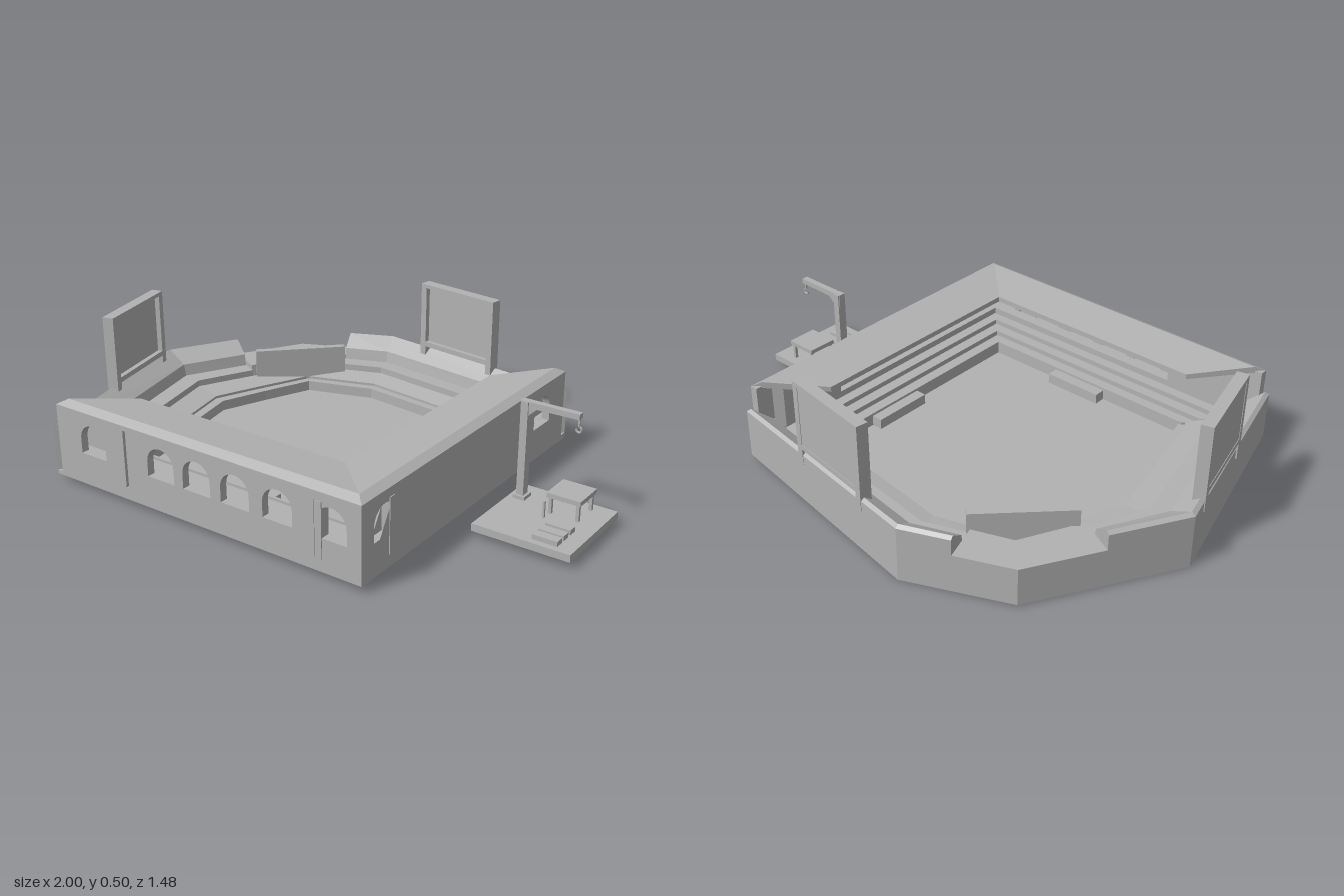
import * as THREE from 'three';

const concrete = new THREE.MeshStandardMaterial({ color: 0xb2b2b2, flatShading: true, side: THREE.DoubleSide });
concrete.name = 'concrete grey';

function part(parent, name, geometry, x = 0, y = 0, z = 0) {
  const mesh = new THREE.Mesh(geometry, concrete);
  mesh.name = name;
  mesh.position.set(x, y, z);
  parent.add(mesh);
  return mesh;
}

// Box given by its limits on each axis
function block(parent, name, x0, x1, y0, y1, z0, z1) {
  return part(parent, name, new THREE.BoxGeometry(x1 - x0, y1 - y0, z1 - z0),
    (x0 + x1) / 2, (y0 + y1) / 2, (z0 + z1) / 2);
}

// Solid swept between an outer and an inner path [x, z, bottom];
// profile points are [share of the way inward, height], height null = the path's bottom
function sweep(outer, inner, profile, closed = false) {
  const n = profile.length, pos = [], idx = [];
  outer.forEach((o, i) => {
    for (const [t, y] of profile) {
      pos.push(o[0] + (inner[i][0] - o[0]) * t, y ?? o[2], o[1] + (inner[i][1] - o[1]) * t);
    }
  });
  const spans = closed ? outer.length : outer.length - 1;
  for (let i = 0; i < spans; i++) {
    const a = i * n, b = ((i + 1) % outer.length) * n;
    for (let j = 0; j < n; j++) {
      const k = (j + 1) % n;
      idx.push(a + j, b + j, b + k, a + j, b + k, a + k);
    }
  }
  if (!closed) {
    const tris = THREE.ShapeUtils.triangulateShape(profile.map(p => new THREE.Vector2(p[0], p[1])), []);
    const last = (outer.length - 1) * n;
    for (const [a, b, c] of tris) idx.push(a, b, c, last + a, last + c, last + b);
  }
  const g = new THREE.BufferGeometry();
  g.setAttribute('position', new THREE.Float32BufferAttribute(pos, 3));
  g.setIndex(idx);
  const flat = g.toNonIndexed();
  flat.computeVertexNormals();
  return flat;
}

function rectPath(x0, x1, y0, y1) {
  const p = new THREE.Path();
  p.moveTo(x0, y0).lineTo(x1, y0).lineTo(x1, y1).lineTo(x0, y1).closePath();
  return p;
}

// Facade with arched windows and upright slots
function facade(u0, u1, arches, slots) {
  const s = new THREE.Shape();
  s.moveTo(u0, 0.03).lineTo(u1, 0.03).lineTo(u1, 0.303).lineTo(u0, 0.303).closePath();
  for (const u of arches) {
    const p = new THREE.Path();
    p.moveTo(u - 0.06, 0.145).lineTo(u + 0.06, 0.145).lineTo(u + 0.06, 0.2);
    p.absarc(u, 0.2, 0.06, 0, Math.PI, false);
    p.closePath();
    s.holes.push(p);
  }
  for (const [a, b, top] of slots) s.holes.push(rectPath(a, b, 0.07, top));
  return new THREE.ExtrudeGeometry(s, { depth: 0.03, bevelEnabled: false, curveSegments: 8 });
}

function scoreboard(parent, name, x, z, turn) {
  const g = new THREE.Group();
  g.name = name;
  g.position.set(x, 0, z);
  g.rotation.y = turn;
  for (const s of [-1, 1]) block(g, 'scoreboardPost', s * 0.168 - 0.013, s * 0.168 + 0.013, 0.17, 0.5, -0.02, 0.025);
  block(g, 'scoreboardPanel', -0.16, 0.16, 0.24, 0.49, -0.018, 0.005);
  block(g, 'scoreboardTopRail', -0.16, 0.16, 0.485, 0.5, -0.02, 0.025);
  block(g, 'scoreboardBottomRail', -0.16, 0.16, 0.235, 0.255, -0.02, 0.025);
  parent.add(g);
}

export function createModel() {
  const root = new THREE.Group();
  root.name = 'ballpark';

  // Field and foundation with a slightly uneven underside
  const rim = [[-0.8, 0.735, 0.025], [0.545, 0.735, 0.025], [0.545, -0.62, 0.02], [-0.33, -0.74, 0],
    [-0.7, -0.58, 0.006], [-1, -0.06, 0.003]];
  const middle = rim.map(() => [-0.2, 0]);
  part(root, 'fieldAndFoundation', sweep(rim, middle, [[0, null], [1, 0.012], [1, 0.04], [0, 0.04]], true));

  // Covered stand along the front and one side
  const coverOut = [[-0.775, 0.735], [0.545, 0.735], [0.545, -0.59]];
  const coverIn = [[-0.57, 0.52], [0.33, 0.52], [0.33, -0.4]];
  part(root, 'standRoof', sweep(coverOut, coverIn,
    [[0, 0.285], [0, 0.303], [0.15, 0.32], [1, 0.3], [1, 0.28], [0.15, 0.295]]));
  part(root, 'coveredSeating', sweep(coverOut, coverIn,
    [[0.14, 0.03], [0.14, 0.145], [0.36, 0.145], [0.36, 0.12], [0.55, 0.12], [0.55, 0.1],
      [0.75, 0.1], [0.75, 0.08], [0.95, 0.08], [0.95, 0.09], [1, 0.09], [1, 0.03]]));

  // Arcaded outer walls
  part(root, 'frontFacade', facade(-0.775, 0.545, [-0.6, -0.28, -0.12, 0.045, 0.22, 0.43],
    [[-0.45, -0.438, 0.3], [0.365, 0.369, 0.27]]), 0, 0, 0.705);
  block(root, 'frontPilaster', 0.369, 0.395, 0.07, 0.27, 0.7, 0.738);
  const side = part(root, 'sideFacade', facade(-0.705, 0.59, [-0.61, -0.4, -0.225, -0.06, 0.105, 0.415],
    [[0.255, 0.267, 0.3], [-0.565, -0.561, 0.27]]), 0.515, 0, 0);
  side.rotation.y = Math.PI / 2;
  block(root, 'sidePilaster', 0.51, 0.548, 0.07, 0.27, 0.561, 0.587);

  // Closed rooms behind the last window of each facade
  const room = [[0.26, 0.13], [0.26, 0.3], [0.4, 0.3], [0.4, 0.13]];
  part(root, 'frontEndRoom', sweep([[-0.775, 0.735], [-0.45, 0.735]], [[-0.57, 0.52], [-0.36, 0.52]], room));
  part(root, 'sideEndRoom', sweep([[0.545, -0.27], [0.545, -0.59]], [[0.33, -0.2], [0.33, -0.4]], room));

  // Open outfield stands, with a lower terrace between them
  const wing = [[0, 0.035], [0, 0.21], [0.05, 0.22], [0.3, 0.175], [0.33, 0.13], [0.57, 0.13],
    [0.57, 0.105], [0.88, 0.09], [0.88, 0.08], [1, 0.08], [1, 0.035]];
  part(root, 'leftFieldStand', sweep([[-0.8, 0.735], [-1, -0.06], [-0.85, -0.32]],
    [[-0.56, 0.52], [-0.67, -0.02], [-0.6, -0.2]], wing));
  part(root, 'backStand', sweep([[-0.5, -0.667], [-0.33, -0.74], [0.545, -0.62]],
    [[-0.42, -0.42], [-0.26, -0.47], [0.33, -0.4]], wing));
  part(root, 'centerTerrace', sweep([[-0.85, -0.32], [-0.7, -0.58], [-0.5, -0.667]],
    [[-0.6, -0.2], [-0.52, -0.39], [-0.42, -0.42]],
    [[0, 0.035], [0, 0.15], [0.55, 0.15], [0.57, 0.105], [0.88, 0.09], [0.88, 0.08], [1, 0.08], [1, 0.035]]));
  const eye = part(root, 'backdropPanel', new THREE.BoxGeometry(0.37, 0.15, 0.028), -0.57, 0.138, -0.4);
  eye.rotation.y = Math.PI / 4;

  // Dugouts
  block(root, 'frontDugout', -0.21, 0.025, 0.04, 0.08, 0.475, 0.52);
  block(root, 'sideDugout', 0.287, 0.33, 0.04, 0.08, -0.205, 0.035);

  scoreboard(root, 'backScoreboard', 0.03, -0.672, -0.137);
  scoreboard(root, 'leftScoreboard', -0.92, 0.195, 1.81);

  // Separate yard with a crane, table and benches
  const yard = new THREE.Group();
  yard.name = 'craneYard';
  root.add(yard);
  block(yard, 'yardSlab', 0.635, 0.995, 0.025, 0.052, -0.12, 0.237);
  block(yard, 'craneFoot', 0.655, 0.7, 0.05, 0.065, -0.055, -0.005);
  block(yard, 'cranePost', 0.663, 0.69, 0.05, 0.41, -0.048, -0.014);
  const arm = new THREE.Shape();
  arm.moveTo(0.66, 0.412).lineTo(0.875, 0.412).lineTo(0.875, 0.393).lineTo(0.72, 0.39).lineTo(0.688, 0.36).lineTo(0.66, 0.36);
  part(yard, 'craneArm', new THREE.ExtrudeGeometry(arm, { depth: 0.024, bevelEnabled: false }), 0, 0, -0.043);
  block(yard, 'craneCable', 0.867, 0.873, 0.365, 0.395, -0.034, -0.028);
  const hook = part(yard, 'craneHook', new THREE.TorusGeometry(0.01, 0.004, 6, 10, 4.4), 0.87, 0.354, -0.031);
  hook.rotation.z = -Math.PI;
  block(yard, 'tableTop', 0.8, 0.925, 0.113, 0.13, -0.09, 0.032);
  for (const x of [0.812, 0.913]) for (const z of [-0.078, 0.02]) {
    block(yard, 'tableLeg', x - 0.006, x + 0.006, 0.05, 0.115, z - 0.006, z + 0.006);
  }
  for (const z of [0.105, 0.153, 0.197]) block(yard, 'bench', 0.845, 0.937, 0.05, 0.07, z - 0.017, z + 0.017);
  block(yard, 'marker', 0.805, 0.812, 0.05, 0.112, 0.057, 0.065);

  return root;
}
